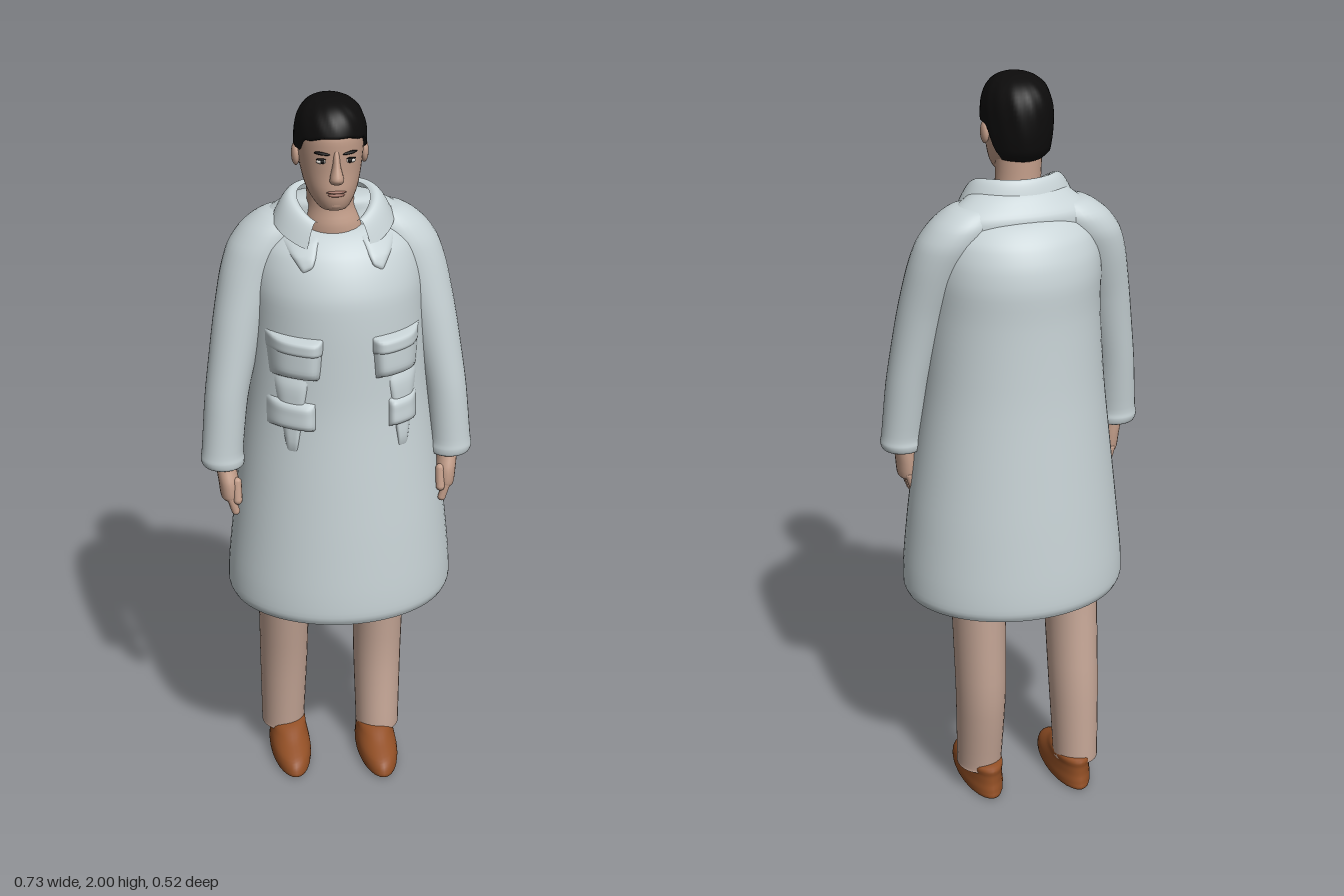
import * as THREE from 'three';
import { mergeVertices } from 'three/addons/utils/BufferGeometryUtils.js';

const mat = (name, color, double) => {
  const m = new THREE.MeshStandardMaterial({ color });
  m.name = name;
  if (double) m.side = THREE.DoubleSide;
  return m;
};

// Smooth surface from a rule f(u, v) -> [x, y, z]
function sheet(name, material, nu, nv, f) {
  let g = new THREE.PlaneGeometry(1, 1, nu, nv);
  const p = g.attributes.position, uv = g.attributes.uv;
  for (let i = 0; i < p.count; i++) p.setXYZ(i, ...f(uv.getX(i), uv.getY(i)));
  g.deleteAttribute('uv');
  g.deleteAttribute('normal');
  g = mergeVertices(g, 1e-5);
  g.computeVertexNormals();
  const m = new THREE.Mesh(g, material);
  m.name = name;
  return m;
}

// Oval cross-sections, lowest first: [y, centre x, centre z, radius x, radius z]
function loft(name, material, rows, nu = 32) {
  const mid = new THREE.CatmullRomCurve3(rows.map(r => new THREE.Vector3(r[1], r[0], r[2])), false, 'catmullrom', 0.4);
  const rad = new THREE.CatmullRomCurve3(rows.map(r => new THREE.Vector3(r[3], r[4], 0)), false, 'catmullrom', 0.4);
  return sheet(name, material, nu, (rows.length - 1) * 4, (u, v) => {
    const a = (u - 0.5) * 2 * Math.PI, c = mid.getPoint(v), r = rad.getPoint(v);
    return [c.x + r.x * Math.sin(a), c.y, c.z + r.y * Math.cos(a)];
  });
}

function ball(name, material, pos, scale) {
  const m = new THREE.Mesh(new THREE.SphereGeometry(1, 16, 12), material);
  m.position.set(...pos);
  m.scale.set(...scale);
  m.name = name;
  return m;
}

const coatRows = [
  [0.6, 0.015, 0, 0.296, 0.25], [0.625, 0.015, 0, 0.305, 0.259], [0.7, 0.015, 0, 0.302, 0.257],
  [0.85, 0.015, 0, 0.286, 0.246], [1.0, 0.013, 0, 0.267, 0.233], [1.2, 0.01, 0, 0.242, 0.216],
  [1.4, 0.008, 0.003, 0.228, 0.21], [1.5, 0.006, 0, 0.226, 0.207], [1.56, 0.005, -0.004, 0.218, 0.192],
  [1.61, 0.005, -0.006, 0.2, 0.167], [1.645, 0.005, -0.008, 0.165, 0.132], [1.662, 0.005, -0.01, 0.12, 0.095],
  [1.667, 0.005, -0.01, 0.002, 0.002],
];

// Front surface of the coat at x, y
function coatZ(x, y) {
  let i = 0;
  while (i < coatRows.length - 2 && coatRows[i + 1][0] < y) i++;
  const a = coatRows[i], b = coatRows[i + 1], t = (y - a[0]) / (b[0] - a[0]);
  const [, cx, cz, rx, rz] = a.map((n, k) => n + (b[k] - n) * t);
  return cz + rz * Math.sqrt(Math.max(0.12, 1 - ((x - cx) / rx) ** 2));
}

// Puffed patch lying on the coat front; corners bl, br, tl, tr as [x, y]
function patch(name, material, [bl, br, tl, tr], puff) {
  const mix = (a, b, t) => a + (b - a) * t;
  return sheet(name, material, 16, 12, (u, v) => {
    const x = mix(mix(bl[0], br[0], u), mix(tl[0], tr[0], u), v);
    const y = mix(mix(bl[1], br[1], u), mix(tl[1], tr[1], u), v);
    const bump = (1 - Math.abs(2 * u - 1) ** 5) * (1 - Math.abs(2 * v - 1) ** 6);
    return [x, y, coatZ(x, y) - 0.004 + puff * bump];
  });
}

export function createModel() {
  const coat = mat('pale grey cloth', 0xc8d3d6, true);
  const trousers = mat('tan cloth', 0xc6a797, true);
  const skin = mat('skin', 0xc39e8a);
  const hair = mat('black hair', 0x0d0c0c, true);
  const leather = mat('brown leather', 0x924f25);
  const white = mat('eye white', 0xd5d0ca);
  const lip = mat('lip', 0x9d6e60);

  const model = new THREE.Group();
  model.name = 'manInCoat';
  const add = (...m) => model.add(...m);

  // Coat body and shoulder yoke
  add(loft('coatBody', coat, coatRows, 64));
  add(loft('coatYoke', coat, [
    [1.54, 0.005, -0.02, 0.2, 0.09], [1.62, 0.003, -0.02, 0.215, 0.095], [1.665, 0.002, -0.023, 0.195, 0.092],
    [1.695, 0, -0.015, 0.155, 0.08], [1.725, -0.005, 0, 0.105, 0.062], [1.735, -0.008, 0.01, 0.002, 0.002],
  ], 48));

  // Turned-down collar, open at the front
  add(sheet('collar', coat, 48, 12, (u, v) => {
    const b = (u - 0.5) * 5.2, front = (1 - Math.cos(b)) / 2;
    const rx = 0.155 - 0.062 * v, rz = 0.117 - 0.036 * v;
    return [-0.006 + rx * Math.sin(b), 1.69 + 0.064 * Math.sin(v * Math.PI * 0.65) - 0.075 * front ** 2.5,
      0.035 - rz * Math.cos(b)];
  }));

  for (const s of [-1, 1]) {
    const side = s > 0 ? 'left' : 'right';
    const X = x => s * x;

    // Lapel, chest pocket and lower pocket
    add(patch(side + 'Lapel', coat, [[X(0.1), 1.57], [X(0.075), 1.585], [X(0.155), 1.645], [X(0.045), 1.66]], 0.014));
    const px = s > 0 ? 0.137 : -0.125;
    add(patch(side + 'ChestPocket', coat,
      [[px - 0.06, 1.295], [px + 0.06, 1.295], [px - 0.07, 1.41], [px + 0.07, 1.41]], 0.034));
    add(patch(side + 'PocketFlap', coat,
      [[px - 0.068, 1.365], [px + 0.068, 1.365], [px - 0.07, 1.412], [px + 0.07, 1.412]], 0.04));
    const lx = s > 0 ? 0.155 : -0.135, lw = s > 0 ? 0.042 : 0.06;
    add(patch(side + 'LowerPocket', coat,
      [[lx - lw, 1.155], [lx + lw, 1.155], [lx - lw, 1.235], [lx + lw, 1.235]], 0.026));
    add(patch(side + 'PocketFold', coat,
      [[lx - 0.012, 1.09], [lx + 0.012, 1.09], [lx - 0.045, 1.3], [lx + 0.045, 1.3]], 0.014));

    // Sleeve
    add(loft(side + 'Sleeve', coat, [
      [1.02, X(0.303), 0.062, 0.03, 0.03], [1.012, X(0.303), 0.062, 0.052, 0.05], [1.03, X(0.305), 0.061, 0.058, 0.056],
      [1.06, X(0.304), 0.06, 0.055, 0.054], [1.2, X(0.29), 0.048, 0.057, 0.062], [1.32, X(0.268), 0.034, 0.063, 0.068],
      [1.42, X(0.246), 0.02, 0.07, 0.074], [1.53, X(0.212), 0.0, 0.083, 0.084], [1.6, X(0.18), -0.012, 0.092, 0.09],
      [1.65, X(0.15), -0.017, 0.085, 0.084], [1.685, X(0.125), -0.015, 0.06, 0.06], [1.697, X(0.115), -0.012, 0.002, 0.002],
    ]));

    // Hand with curled fingers
    const hand = new THREE.Group();
    hand.name = side + 'Hand';
    hand.add(loft('palm', skin, [
      [0.915, X(0.289), 0.078, 0.005, 0.01], [0.925, X(0.289), 0.078, 0.024, 0.038], [0.97, X(0.292), 0.075, 0.027, 0.04],
      [1.01, X(0.298), 0.067, 0.026, 0.032], [1.04, X(0.3), 0.063, 0.026, 0.03],
    ], 20));
    for (let i = 0; i < 4; i++) {
      const finger = new THREE.Mesh(new THREE.CapsuleGeometry(0.011, 0.042, 4, 10), skin);
      finger.position.set(X(0.284), 0.912 - 0.006 * Math.sin(i), 0.046 + i * 0.02);
      finger.rotation.z = -s * 0.3;
      finger.name = 'finger';
      hand.add(finger);
    }
    const thumb = new THREE.Mesh(new THREE.CapsuleGeometry(0.012, 0.05, 4, 10), skin);
    thumb.position.set(X(0.272), 0.95, 0.106);
    thumb.rotation.x = -0.25;
    thumb.name = 'thumb';
    hand.add(thumb);
    add(hand);

    // Trouser leg and shoe
    const legX = s > 0 ? 0.14 : -0.13;
    const z = s > 0 ? [-0.07, -0.095, -0.085, -0.06] : [-0.117, -0.1, -0.06, -0.03];
    add(loft(side + 'TrouserLeg', trousers, [
      [0.075, legX - 0.002, z[0], 0.062, 0.072], [0.1, legX - 0.002, z[0], 0.062, 0.073], [0.32, legX, z[1], 0.068, 0.084],
      [0.6, legX, z[2], 0.073, 0.097], [0.95, legX - s * 0.02, z[3], 0.09, 0.12],
    ], 28));
    const shoeX = s > 0 ? 0.128 : -0.12, dz = s > 0 ? 0 : -0.037;
    add(loft(side + 'Shoe', leather, [
      [0, shoeX, -0.02 + dz, 0.002, 0.002], [0.002, shoeX, -0.02 + dz, 0.05, 0.142], [0.022, shoeX, -0.02 + dz, 0.058, 0.15],
      [0.045, shoeX, -0.027 + dz, 0.056, 0.138], [0.07, shoeX, -0.055 + dz, 0.051, 0.108],
      [0.095, shoeX, -0.08 + dz, 0.046, 0.08], [0.11, shoeX, -0.08 + dz, 0.002, 0.002],
    ], 28));
  }

  // Neck and head
  const hx = -0.018;
  add(loft('neck', skin, [
    [1.6, 0, 0.025, 0.09, 0.075], [1.67, -0.008, 0.035, 0.074, 0.07], [1.72, -0.014, 0.038, 0.06, 0.06],
    [1.8, hx, 0.042, 0.06, 0.062],
  ]));
  add(loft('head', skin, [
    [1.73, hx, 0.125, 0.002, 0.002], [1.736, hx, 0.12, 0.034, 0.038], [1.76, hx, 0.093, 0.055, 0.076],
    [1.79, hx, 0.075, 0.068, 0.097], [1.83, hx, 0.065, 0.077, 0.104], [1.88, hx, 0.061, 0.083, 0.109],
    [1.92, hx, 0.06, 0.083, 0.11], [1.96, hx, 0.058, 0.07, 0.094], [1.982, hx, 0.055, 0.045, 0.06],
    [1.99, hx, 0.055, 0.002, 0.002],
  ], 40));
  add(loft('nose', skin, [
    [1.806, hx, 0.17, 0.004, 0.004], [1.812, hx, 0.171, 0.016, 0.018], [1.825, hx, 0.174, 0.017, 0.024],
    [1.855, hx, 0.167, 0.01, 0.018], [1.89, hx, 0.163, 0.007, 0.008],
  ], 16));
  add(ball('upperLip', lip, [hx, 1.787, 0.17], [0.025, 0.004, 0.006]));
  add(ball('lowerLip', lip, [hx, 1.779, 0.168], [0.021, 0.005, 0.007]));
  add(ball('chin', skin, [hx, 1.752, 0.147], [0.024, 0.016, 0.02]));
  for (const s of [-1, 1]) {
    const ex = hx + s * 0.034;
    add(ball('ear', skin, [hx + s * 0.086, 1.855, 0.058], [0.011, 0.03, 0.019]));
    add(ball('eye', white, [ex, 1.864, 0.159], [0.015, 0.006, 0.006]));
    add(ball('iris', hair, [ex, 1.864, 0.163], [0.006, 0.0055, 0.003]));
    const lid = ball('upperLid', hair, [ex, 1.87, 0.16], [0.016, 0.002, 0.006]);
    const brow = ball('eyebrow', hair, [ex, 1.884, 0.16], [0.021, 0.004, 0.007]);
    brow.rotation.set(0, s * 0.35, s * 0.08);
    add(lid, brow);
  }

  // Short hair: a cap with a hairline that drops behind the ears
  add(sheet('hair', hair, 72, 20, (u, v) => {
    const a = (u - 0.5) * 2 * Math.PI, d = Math.abs(a);
    const step = (from, to) => THREE.MathUtils.smoothstep(d, from, to);
    const low = 1.917 - 0.012 * step(0.3, 0.9) - 0.035 * step(0.95, 1.3) - 0.078 * step(1.7, 2.2);
    const y = low + (2.0 - low) * Math.sin(v * Math.PI / 2);
    const t = (y - 1.88) / 0.12;
    let r = t > 0 ? Math.max(0, 1 - t ** 2.9) ** (1 / 2.5) : 1 - 0.22 * t * t;
    if (v === 0) r *= 0.86;
    r *= 1 + 0.012 * Math.sin(a * 13 + v * 9) * Math.sin(v * Math.PI);
    return [hx + 0.091 * r * Math.sin(a), y, 0.06 + 0.118 * r * Math.cos(a)];
  }));

  return model;
}
